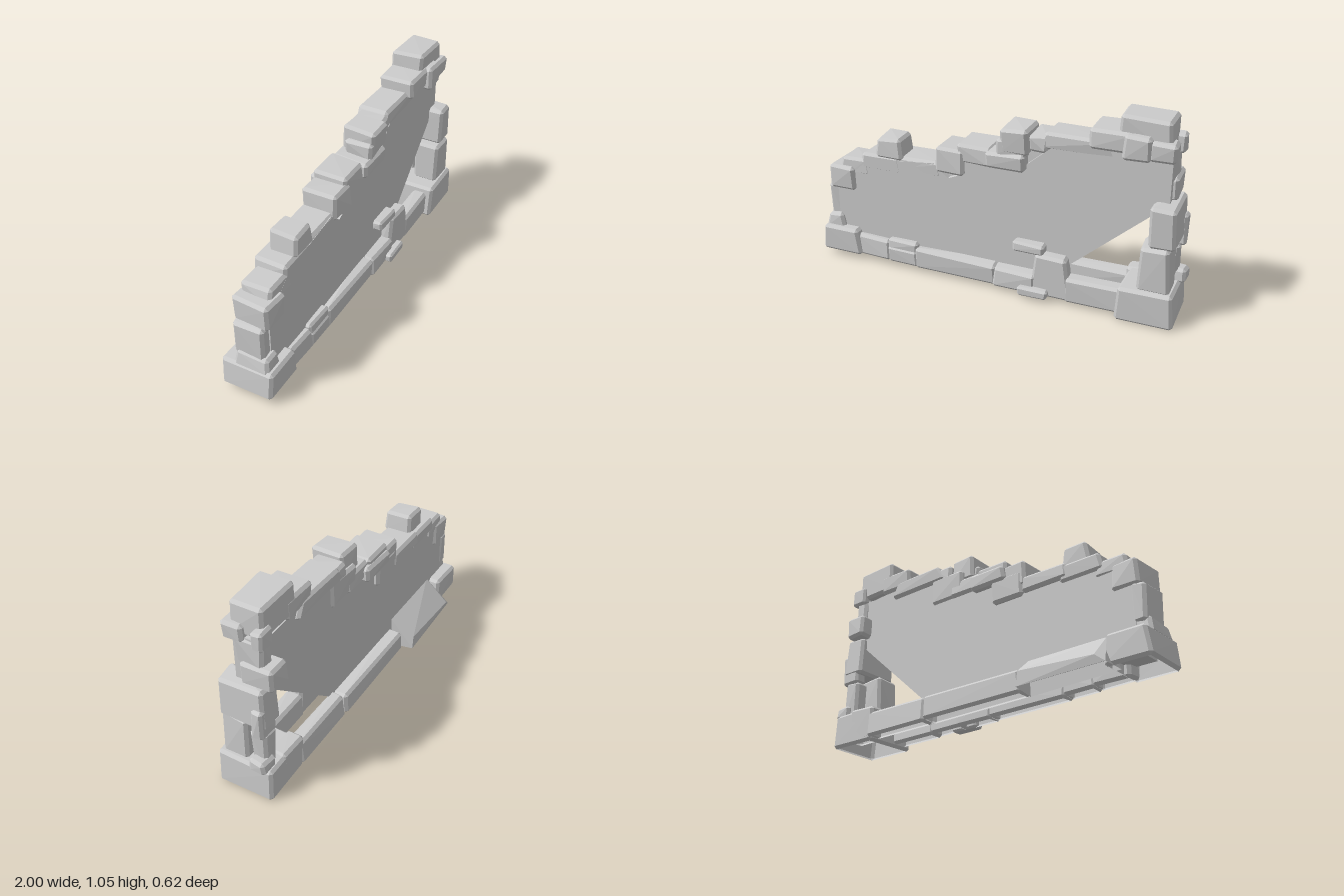
import * as THREE from 'three';
import { ConvexGeometry } from 'three/addons/geometries/ConvexGeometry.js';

const ANGLE = 0.175, C = Math.cos(ANGLE), S = Math.sin(ANGLE);

export function createModel() {
  const model = new THREE.Group();
  model.name = 'ruinedStoneWall';
  const wall = new THREE.Group();
  wall.name = 'wall';
  wall.rotation.y = ANGLE; // the wall stands slightly askew
  model.add(wall);

  const stoneMat = new THREE.MeshStandardMaterial({ color: 0xcccccc, flatShading: true, side: THREE.DoubleSide });
  stoneMat.name = 'grey stone';

  let seed = 7;
  const rnd = () => ((seed = (seed * 16807) % 2147483647) / 2147483647) - 0.5;

  const add = (name, geo) => {
    const m = new THREE.Mesh(geo, stoneMat);
    m.name = name;
    wall.add(m);
    return m;
  };

  // Removes the downward faces, leaving a hollow stone
  function openBottom(mesh) {
    const p = mesh.geometry.attributes.position, n = mesh.geometry.attributes.normal, kept = [];
    for (let i = 0; i < p.count; i += 3) {
      if (n.getY(i) < -0.9) continue;
      for (let k = i; k < i + 3; k++) kept.push(p.getX(k), p.getY(k), p.getZ(k));
    }
    mesh.geometry = new THREE.BufferGeometry();
    mesh.geometry.setAttribute('position', new THREE.Float32BufferAttribute(kept, 3));
    mesh.geometry.computeVertexNormals();
  }

  // Rough-hewn block with chamfered corners. x0..x1 is the span seen from the front,
  // w0..w1 the depth across the wall, taper narrows the top along the wall.
  function stone(name, x0, x1, y0, y1, w0, w1, taper = 0) {
    const u0 = (x0 - S * w0) / C, u1 = (x1 - S * w1) / C;
    const size = Math.min(u1 - u0, y1 - y0, w1 - w0);
    const b = Math.min(0.015, size * 0.2), j = Math.min(0.012, size * 0.12);
    const pts = [];
    for (const i of [0, 1]) for (const k of [0, 1]) for (const l of [0, 1]) {
      const sx = i ? -1 : 1, sy = k ? -1 : 1, sw = l ? -1 : 1;
      const x = (i ? u1 : u0) + sx * (k ? taper : 0) + rnd() * j;
      const y = (k ? y1 : y0) + (k ? rnd() * j : 0);
      const w = (l ? w1 : w0) + rnd() * j;
      pts.push(
        new THREE.Vector3(x, y + sy * b, w + sw * b),
        new THREE.Vector3(x + sx * b, y, w + sw * b),
        new THREE.Vector3(x + sx * b, y + sy * b, w));
    }
    return add(name, new ConvexGeometry(pts));
  }
  const course = (name, list) => list.map((s, i) => stone(name + (i + 1), ...s));

  // Infill with a stepped, broken top and a missing lower corner
  const outline = [
    [-0.87, 0.09], [-0.87, 0.42], [-0.8, 0.5], [-0.68, 0.6], [-0.3, 0.64], [-0.22, 0.57],
    [-0.15, 0.6], [-0.13, 0.68], [0.17, 0.69], [0.32, 0.82], [0.42, 0.88], [0.8, 0.86],
    [0.91, 0.88], [0.91, 0.63], [0.31, 0.09],
  ].map(([x, y]) => new THREE.Vector2((x - S * 0.075) / C, y));
  const panel = new THREE.ExtrudeGeometry(new THREE.Shape(outline), { depth: 0.155, bevelEnabled: false });
  panel.translate(0, 0, -0.075);
  // The front leans out a little towards the left end
  const pos = panel.attributes.position;
  for (let i = 0; i < pos.count; i++) if (pos.getZ(i) > 0) pos.setZ(i, 0.075 - 0.015 * pos.getX(i));
  panel.computeVertexNormals();
  add('wallPanel', panel);

  // Corner stones of the footing
  openBottom(stone('leftCornerStone', -1, -0.72, 0.03, 0.18, -0.14, 0.14, 0.008));
  openBottom(stone('rightCornerStone', 0.665, 1, 0, 0.185, -0.14, 0.16, 0.006));

  // Front footing
  course('frontFooting', [
    [-0.77, -0.55, 0.03, 0.15, 0.03, 0.12],
    [-0.58, -0.385, 0.025, 0.12, 0.03, 0.125],
    [-0.575, -0.39, 0.1, 0.16, 0.03, 0.115],
    [-0.41, 0.065, 0.02, 0.14, 0.04, 0.125],
    [0.04, 0.29, 0.02, 0.135, 0.04, 0.13],
    [0.235, 0.47, 0.02, 0.255, 0.04, 0.13, 0.025],
    [0.42, 0.73, 0.015, 0.155, 0.04, 0.13],
  ]).forEach(openBottom);
  course('looseBrick', [
    [0.145, 0.325, 0.25, 0.305, 0.05, 0.125],
    [0.195, 0.365, 0.02, 0.07, 0.1, 0.165],
  ]);

  // Back footing
  course('backFooting', [
    [-0.32, 0.31, 0.02, 0.14, -0.15, -0.05],
    [0.29, 0.71, 0.015, 0.15, -0.142, -0.06],
    [0.66, 0.84, 0.01, 0.19, -0.14, -0.05],
  ]).forEach(openBottom);
  // Slumped slab leaning against the back
  const slab = [];
  for (const [u, y, w] of [
    [-0.8, 0.03, -0.19], [-0.32, 0.025, -0.2], [-0.75, 0.07, -0.2], [-0.33, 0.1, -0.2],
    [-0.74, 0.2, -0.07], [-0.3, 0.2, -0.07], [-0.8, 0.03, -0.06], [-0.3, 0.02, -0.06],
  ]) slab.push(new THREE.Vector3(u, y, w));
  openBottom(add('leaningSlab', new ConvexGeometry(slab)));

  // Left end quoins
  course('leftQuoin', [
    [-0.97, -0.83, 0.16, 0.25, -0.07, 0.11, 0.008],
    [-0.955, -0.85, 0.22, 0.415, -0.08, 0.085],
    [-0.935, -0.755, 0.405, 0.54, -0.09, 0.11],
  ]);

  // Right end quoins
  course('rightQuoin', [
    [0.78, 0.965, 0.18, 0.42, 0, 0.145, 0.01],
    [0.8, 0.975, 0.42, 0.635, -0.11, 0.14],
    [0.83, 0.94, 0.17, 0.38, -0.105, -0.02],
    [0.83, 0.96, 0.37, 0.54, -0.11, -0.045],
    [0.87, 0.98, 0.17, 0.245, -0.12, -0.03],
    [0.77, 0.922, 0.63, 0.75, -0.15, 0.02],
    [0.81, 0.915, 0.73, 0.88, -0.095, 0.055],
  ]);

  // Broken coping stones along the top, rising from left to right
  course('copingStone', [
    [-0.88, -0.67, 0.5, 0.59, -0.08, 0.085, 0.012],
    [-0.75, -0.48, 0.54, 0.635, -0.09, 0.085, 0.01],
    [-0.655, -0.475, 0.62, 0.735, -0.06, 0.09, 0.014],
    [-0.56, -0.26, 0.56, 0.645, -0.1, 0.08],
    [-0.315, -0.125, 0.6, 0.74, -0.1, 0.1],
    [-0.3, -0.08, 0.55, 0.68, -0.1, 0.05],
    [-0.2, 0.015, 0.67, 0.775, -0.1, 0.085],
    [-0.2, 0.05, 0.66, 0.745, -0.12, 0.06],
    [-0.03, 0.21, 0.68, 0.77, -0.09, 0.11],
    [0.03, 0.21, 0.75, 0.845, -0.05, 0.1],
    [0.05, 0.22, 0.77, 0.905, -0.07, 0.11],
    [0.1, 0.34, 0.68, 0.83, -0.09, 0.055],
    [0.18, 0.31, 0.79, 0.88, -0.09, 0.075],
    [0.22, 0.64, 0.81, 0.9, -0.095, 0.07, 0.04],
    [0.49, 0.725, 0.865, 0.97, -0.09, 0.1],
    [0.62, 0.905, 0.88, 1.05, -0.09, 0.085, 0.004],
    [0.68, 0.83, 0.845, 0.97, 0.03, 0.125],
    [0.79, 0.938, 0.85, 0.945, 0, 0.11],
    [0.81, 0.92, 0.85, 0.95, -0.11, -0.05],
  ]);

  return model;
}
